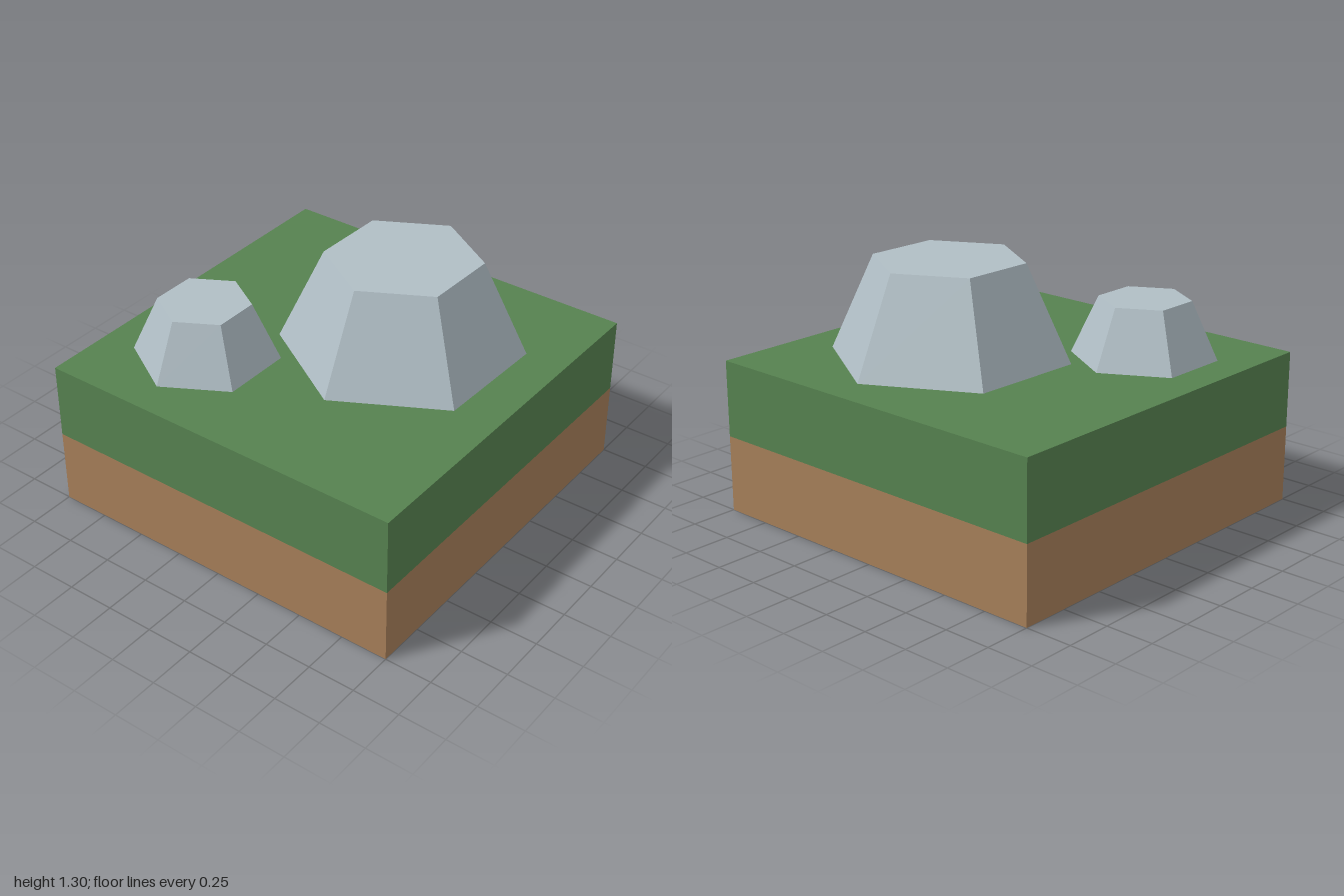
import * as THREE from 'three';

function addMesh(group, name, geometry, color, x, y, z) {
  const material = new THREE.MeshStandardMaterial({ color, flatShading: true });
  const mesh = new THREE.Mesh(geometry, material);
  mesh.name = name;
  mesh.position.set(x, y, z);
  group.add(mesh);
}

export function createModel() {
  const group = new THREE.Group();
  group.name = 'rockTile';

  // Two stacked ground layers
  const layer = 0.4;
  addMesh(group, 'soilLayer', new THREE.BoxGeometry(2, layer, 2), 0xa67f59, 0, layer / 2, 0);
  addMesh(group, 'grassLayer', new THREE.BoxGeometry(2, layer, 2), 0x568250, 0, layer * 1.5, 0);

  // Tapered six-sided rocks standing on the grass, each turned slightly
  const rocks = [
    { name: 'largeRock', top: 0.392, base: 0.62, height: 0.5, x: 0.19, z: 0.235, turn: 0.025 },
    { name: 'smallRock', top: 0.234, base: 0.37, height: 0.3, x: -0.452, z: -0.492, turn: 0.008 },
  ];
  for (const { name, top, base, height, x, z, turn } of rocks) {
    const geometry = new THREE.CylinderGeometry(top, base, height, 6, 1, false, Math.PI / 2 - turn);
    addMesh(group, name, geometry, 0xb0bec5, x, 2 * layer + height / 2, z);
  }

  return group;
}
